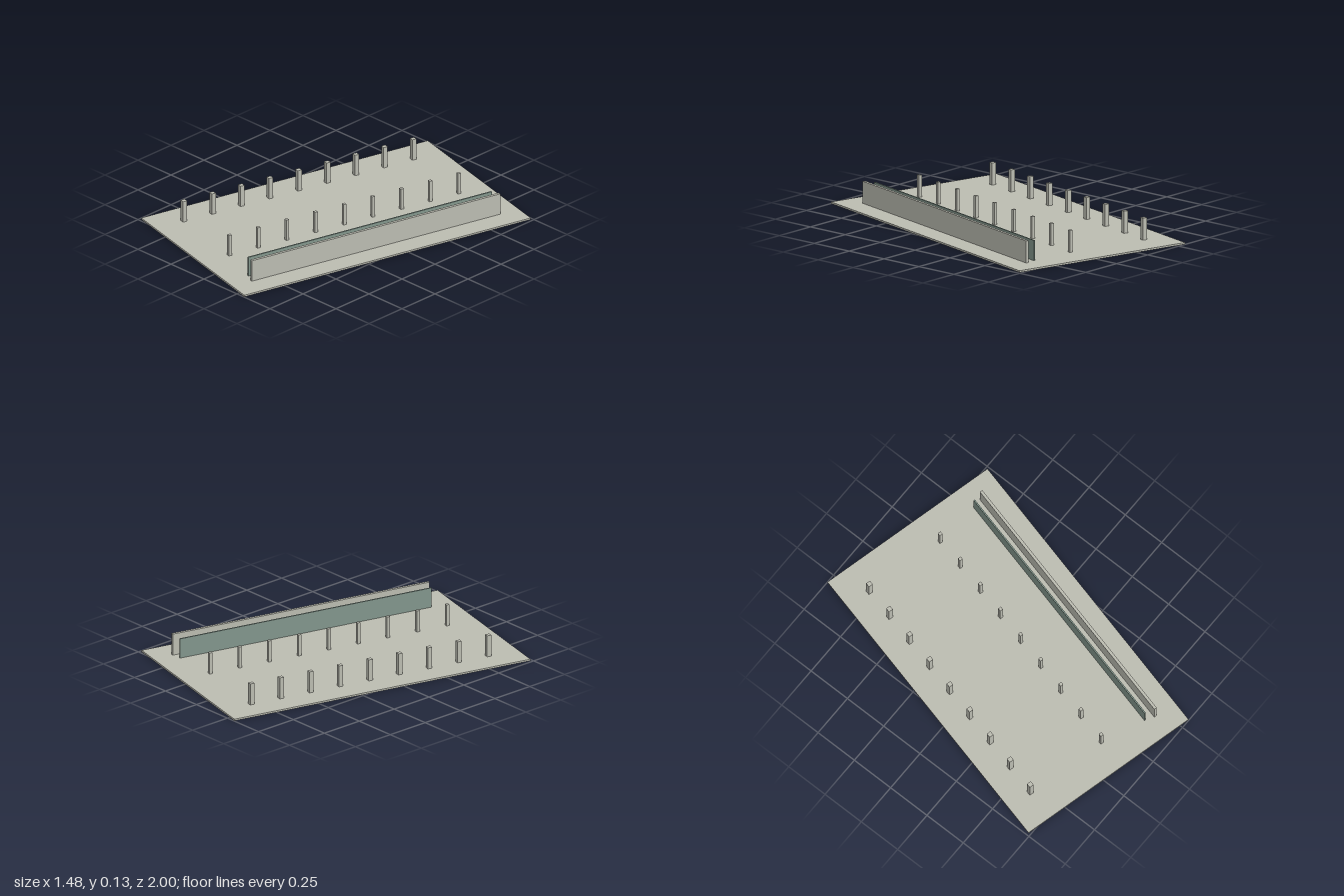
import * as THREE from 'three';

const concrete = new THREE.MeshStandardMaterial({ color: 0xbbbcb1 });
concrete.name = 'pale concrete';
const glass = new THREE.MeshStandardMaterial({ color: 0x82968c });
glass.name = 'grey green glass';

export function createModel() {
  const model = new THREE.Group();
  model.name = 'colonnadeFloor';
  // The whole floor is turned in plan
  model.rotation.y = THREE.MathUtils.degToRad(-14.05);

  const slabTop = 0.01;
  const postTop = 0.132;

  // Box given by its centre in plan and its bottom and top heights
  function addBox(name, material, x, z, width, depth, bottom, top) {
    const mesh = new THREE.Mesh(new THREE.BoxGeometry(width, top - bottom, depth), material);
    mesh.name = name;
    mesh.position.set(x, (bottom + top) / 2, z);
    model.add(mesh);
  }

  // Floor slab
  addBox('slab', concrete, 0, 0, 1.073, 1.789, 0, slabTop);

  // Two rows of nine square columns, the outer row thicker
  for (let i = 0; i < 9; i++) {
    const z = (i - 4) * 0.179;
    addBox('outerColumn', concrete, -0.39, z, 0.025, 0.025, slabTop, postTop);
    addBox('innerColumn', concrete, 0.085, z, 0.018, 0.018, slabTop, postTop);
  }

  // Thin glazed partition and the solid wall behind it
  addBox('glassPartition', glass, 0.348, -0.002, 0.008, 1.52, slabTop, 0.122);
  addBox('backWall', concrete, 0.406, -0.002, 0.016, 1.552, slabTop, postTop);

  return model;
}
